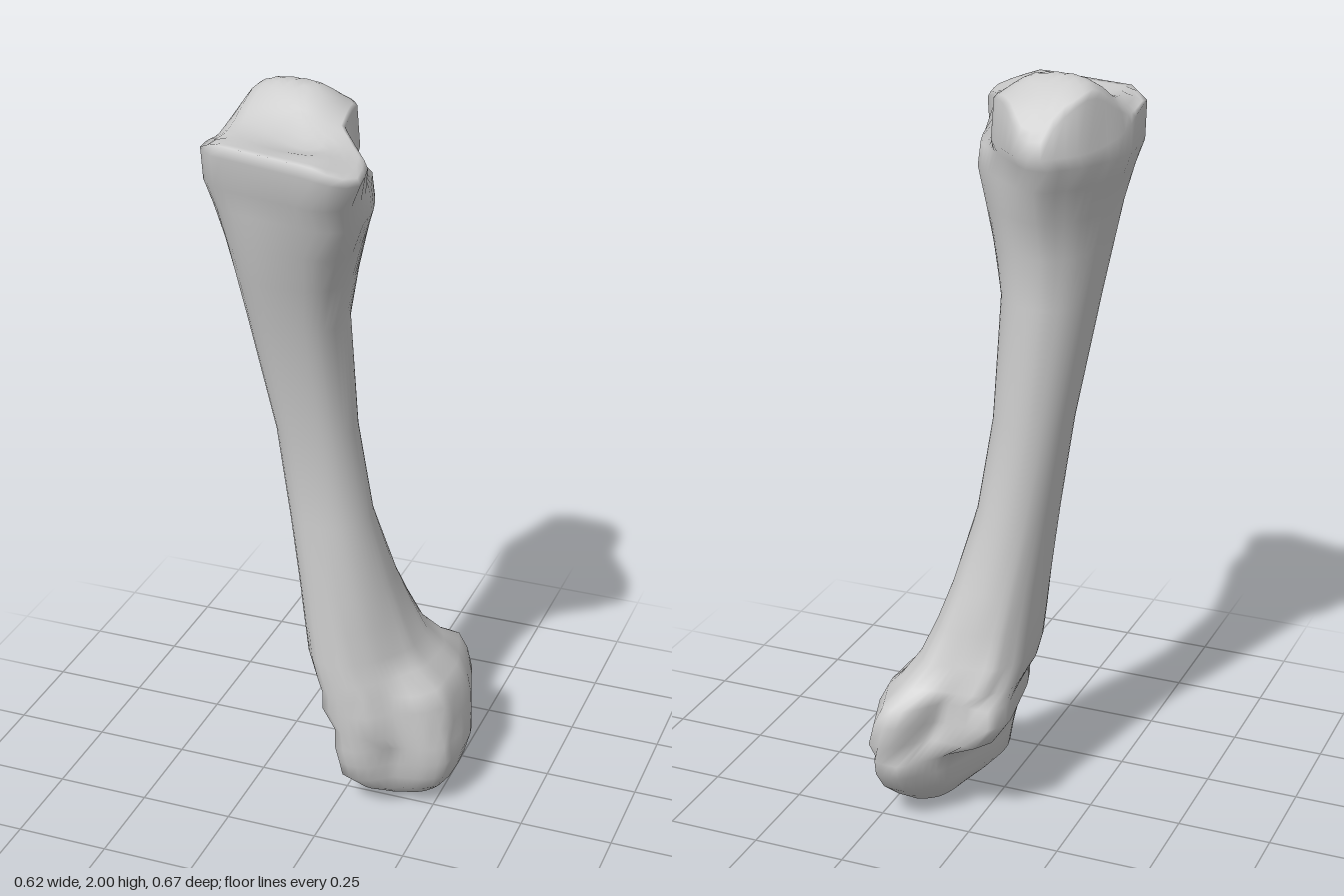
import * as THREE from 'three';

const SIDES = 48;

// Distance from the origin to a closed outline along one direction.
function reach(outline, dx, dz) {
  let best = 0;
  outline.forEach(([ax, az], i) => {
    const [bx, bz] = outline[(i + 1) % outline.length];
    const ex = bx - ax, ez = bz - az;
    const det = dx * ez - dz * ex;
    if (Math.abs(det) < 1e-9) return;
    const t = (ax * ez - az * ex) / det;
    const u = (ax * dz - az * dx) / det;
    if (t > 0 && u >= -1e-6 && u <= 1 + 1e-6) best = Math.max(best, t);
  });
  return best;
}

// Stretch points so that they fill the given x and z range.
function fit(points, x0, x1, z0, z1) {
  const xs = points.map(p => p[0]), zs = points.map(p => p[1]);
  const ax = Math.min(...xs), bx = Math.max(...xs);
  const az = Math.min(...zs), bz = Math.max(...zs);
  return points.map(([x, z]) => [
    x0 + (x - ax) / (bx - ax) * (x1 - x0),
    z0 + (z - az) / (bz - az) * (z1 - z0),
  ]);
}

// Resample an outline by angle inside a unit box.
function section(outline) {
  const unit = fit(outline, -1, 1, -1, 1);
  return Array.from({ length: SIDES }, (_, i) => {
    const a = i / SIDES * Math.PI * 2;
    const r = reach(unit, Math.cos(a), Math.sin(a));
    return [Math.cos(a) * r, Math.sin(a) * r];
  });
}

const shapes = {
  // round shaft with a blunt front corner on its right side
  shaft: Array.from({ length: SIDES }, (_, i) => {
    const a = i / SIDES * Math.PI * 2;
    const r = 1 + 0.24 * Math.pow(Math.max(0, Math.cos(a - Math.PI * 0.75)), 6);
    return [Math.cos(a) * r, Math.sin(a) * r];
  }),
  // skewed upper end, and its rim with a hollow on the left side
  upper: section([[-0.3, 0], [-0.31, 0.07], [-0.295, 0.22], [-0.25, 0.26], [0.06, 0.335], [0.12, 0.3],
    [0.135, 0.22], [0.125, 0.12], [0.09, 0.01], [0, -0.085], [-0.11, -0.19], [-0.17, -0.205], [-0.25, -0.115]]),
  rim: section([[-0.3, 0], [-0.31, 0.07], [-0.295, 0.22], [-0.25, 0.26], [0.06, 0.335], [0.125, 0.3],
    [0.135, 0.26], [0.11, 0.16], [0.015, 0.05], [0, -0.08], [-0.11, -0.19], [-0.17, -0.205], [-0.25, -0.115]]),
  // lower flare of the shaft
  flare: section([[-0.08, -0.12], [-0.03, -0.19], [0.08, -0.2], [0.17, -0.22], [0.215, -0.14], [0.2, -0.03],
    [0.13, 0.06], [0.06, 0.12], [-0.03, 0.12], [-0.07, 0.06]]),
  // two rear condyles with a shallow notch between them
  condyles: section([[-0.085, -0.19], [-0.05, -0.245], [0.09, -0.245], [0.16, -0.33], [0.23, -0.333],
    [0.28, -0.18], [0.275, -0.02], [0.23, 0.035], [0.15, 0.065], [0.1, 0.115], [0.04, 0.125], [-0.025, 0.115],
    [-0.05, 0.03]]),
  // single large condyle with the front ridge
  foot: section([[0, 0], [0.005, 0.1], [0.05, 0.12], [0.1, 0.105], [0.15, 0.06], [0.24, 0.04], [0.285, 0.01],
    [0.305, -0.08], [0.3, -0.18], [0.235, -0.33], [0.165, -0.33], [0.08, -0.23]]),
};

// y, x range, z range, end shape, share of the end shape against the round shaft
const LEVELS = [
  [0.008, 0.13, 0.2, -0.14, -0.03, 'foot', 0],
  [0.025, 0.095, 0.245, -0.185, 0.015, 'foot', 0.4],
  [0.06, 0.05, 0.275, -0.235, 0.07, 'foot', 0.8],
  [0.1, 0.01, 0.295, -0.28, 0.1, 'foot', 1],
  [0.15, 0.005, 0.307, -0.31, 0.115, 'foot', 1],
  [0.2, -0.005, 0.302, -0.33, 0.122, 'foot', 1],
  [0.25, -0.045, 0.293, -0.333, 0.125, 'condyles', 1],
  [0.31, -0.085, 0.282, -0.333, 0.125, 'condyles', 1],
  [0.36, -0.08, 0.257, -0.32, 0.125, 'condyles', 1],
  [0.4, -0.085, 0.215, -0.265, 0.123, 'flare', 1],
  [0.46, -0.095, 0.175, -0.22, 0.12, 'flare', 0.8],
  [0.55, -0.105, 0.14, -0.195, 0.115, 'flare', 0.5],
  [0.65, -0.115, 0.11, -0.165, 0.11, 'flare', 0.3],
  [0.85, -0.14, 0.06, -0.12, 0.1, 'flare', 0],
  [1.1, -0.178, 0.02, -0.105, 0.092, 'upper', 0],
  [1.42, -0.225, 0.015, -0.095, 0.165, 'upper', 0.2],
  [1.55, -0.245, 0.045, -0.1, 0.2, 'upper', 0.4],
  [1.65, -0.262, 0.075, -0.13, 0.235, 'upper', 0.65],
  [1.74, -0.288, 0.11, -0.165, 0.275, 'upper', 0.9],
  [1.8, -0.31, 0.108, -0.19, 0.297, 'upper', 1],
];

// Height of the saddle-shaped joint surface on the upper end.
function jointHeight(x, z) {
  const crest = Math.exp(-Math.pow(Math.abs(x + 0.15) / 0.14, 3) - Math.pow((z + 0.03) / 0.095, 2));
  const dip = Math.exp(-Math.pow((x + 0.06) / 0.1, 2) - Math.pow((z - 0.15) / 0.07, 2));
  const edges = 0.35 * Math.max(0, x - 0.03) + 0.8 * Math.max(0, -0.25 - x) + 0.8 * Math.max(0, -0.13 - z);
  return 1.915 + 0.086 * crest - 0.025 * dip - edges;
}

function buildRings() {
  const rings = LEVELS.map(([y, x0, x1, z0, z1, name, share]) => {
    const mixed = shapes.shaft.map(([x, z], i) => [
      THREE.MathUtils.lerp(x, shapes[name][i][0], share),
      THREE.MathUtils.lerp(z, shapes[name][i][1], share),
    ]);
    return fit(mixed, x0, x1, z0, z1).map(([x, z]) => [x, y, z]);
  });
  // underside closes to a point
  rings.unshift(shapes.shaft.map(() => [0.165, 0, -0.085]));
  // rim of the joint, lower at the back and at the left corner
  const rim = fit(shapes.rim, -0.305, 0.135, -0.205, 0.335);
  rings.push(rim.map(([x, z]) => [
    x, 1.83 + 0.06 * THREE.MathUtils.smoothstep(z, -0.12, 0.2) - 0.2 * Math.max(0, x - 0.03), z,
  ]));
  // joint surface
  for (const s of [0.95, 0.87, 0.76, 0.64, 0.5, 0.36, 0.22, 0.1, 0]) {
    rings.push(rim.map(([rx, rz]) => {
      const x = THREE.MathUtils.lerp(-0.1, rx, s), z = THREE.MathUtils.lerp(0.05, rz, s);
      return [x, jointHeight(x, z), z];
    }));
  }
  return rings;
}

// Skin the rings with smooth normals; the first and last ring are points.
function loft(rings) {
  const index = [];
  for (let j = 0; j < rings.length - 1; j++) {
    for (let i = 0; i < SIDES; i++) {
      const a = j * SIDES + i, b = j * SIDES + (i + 1) % SIDES;
      const c = a + SIDES, d = b + SIDES;
      if (j > 0) index.push(a, c, b);
      if (j < rings.length - 2) index.push(b, c, d);
    }
  }
  const geometry = new THREE.BufferGeometry();
  geometry.setAttribute('position', new THREE.Float32BufferAttribute(rings.flat(2), 3));
  geometry.setIndex(index);
  geometry.computeVertexNormals();
  return geometry;
}

export function createModel() {
  const group = new THREE.Group();
  group.name = 'bone';
  const material = new THREE.MeshStandardMaterial({ color: 0xcccccc });
  const bone = new THREE.Mesh(loft(buildRings()), material);
  bone.name = 'boneShaftAndJoints';
  group.add(bone);
  return group;
}
